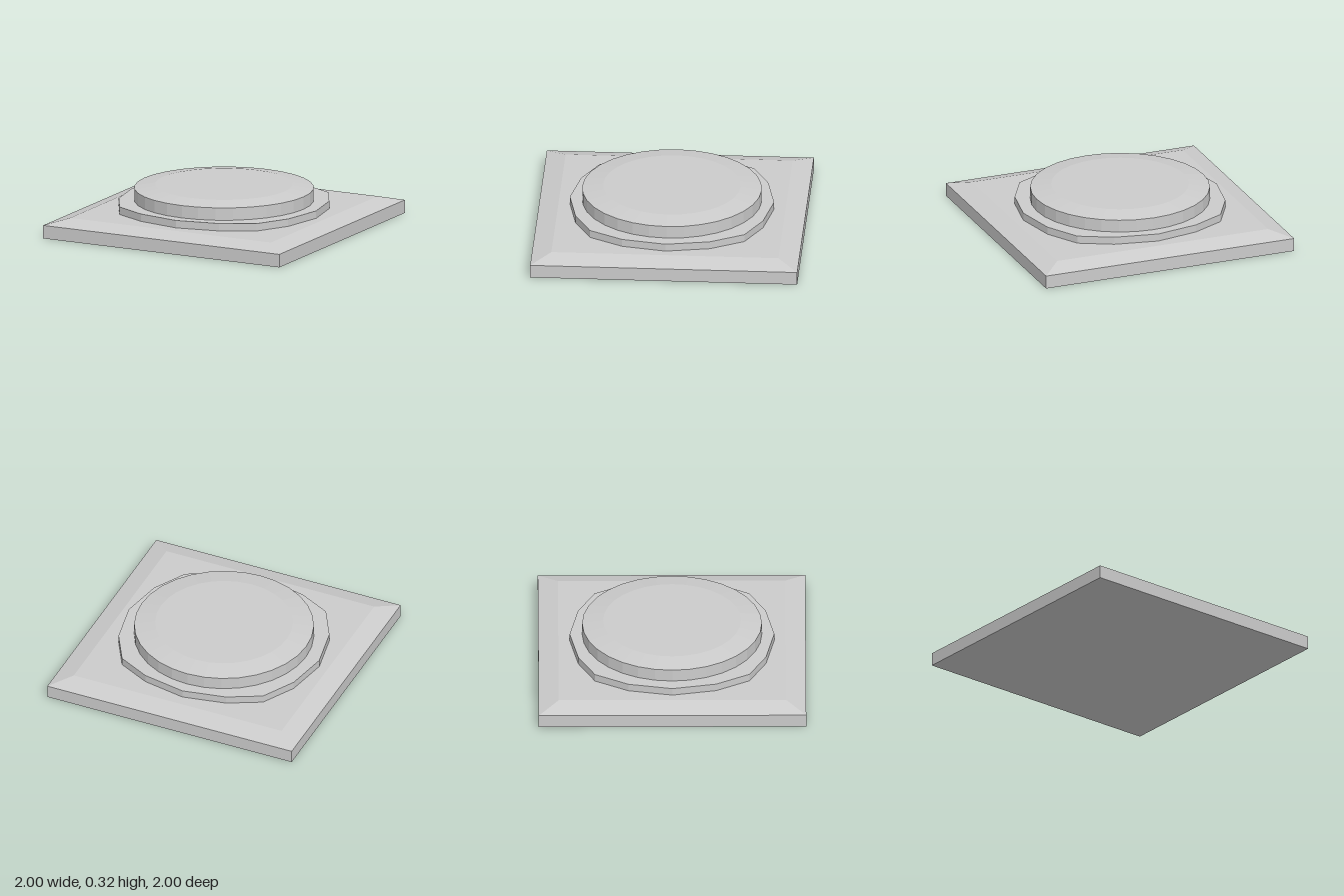
import * as THREE from 'three';

const material = new THREE.MeshStandardMaterial({ color: 0xcccccc, flatShading: true });

function part(name, geometry) {
  const mesh = new THREE.Mesh(geometry, material);
  mesh.name = name;
  return mesh;
}

// Solid of revolution from [radius, height] pairs, listed bottom to top
function turned(profile, sides, start = 0) {
  const points = profile.map(([r, y]) => new THREE.Vector2(r, y));
  return new THREE.LatheGeometry(points, sides, start);
}

export function createModel() {
  const model = new THREE.Group();
  model.name = 'pedestalBase';

  // Square plinth with a sloped upper edge (four-sided turning, corners on the diagonals)
  const d = Math.SQRT2;
  model.add(part('plinth', turned(
    [[0, 0], [d, 0], [d, 0.1], [0.85 * d, 0.143], [0, 0.143]], 4, Math.PI / 4)));

  // Slightly uneven sixteen-sided step: one quadrant mirrored to all four
  const quadrant = [[0.78, 0], [0.717, 0.328], [0.577, 0.578], [0.33, 0.702], [0, 0.765]];
  const half = [...quadrant, ...quadrant.slice(0, -1).reverse().map(([x, z]) => [-x, z])];
  const outline = [...half, ...half.slice(1, -1).reverse().map(([x, z]) => [x, -z])];
  const shape = new THREE.Shape(outline.map(([x, z]) => new THREE.Vector2(x, z)));
  const step = new THREE.ExtrudeGeometry(shape, { depth: 0.057, bevelEnabled: false });
  step.rotateX(-Math.PI / 2).translate(0, 0.143, 0);
  model.add(part('step', step));

  // Round disc with a shallow sloped rim
  model.add(part('disc', turned(
    [[0, 0.2], [0.672, 0.2], [0.672, 0.295], [0.515, 0.32], [0, 0.32]], 32)));

  return model;
}
